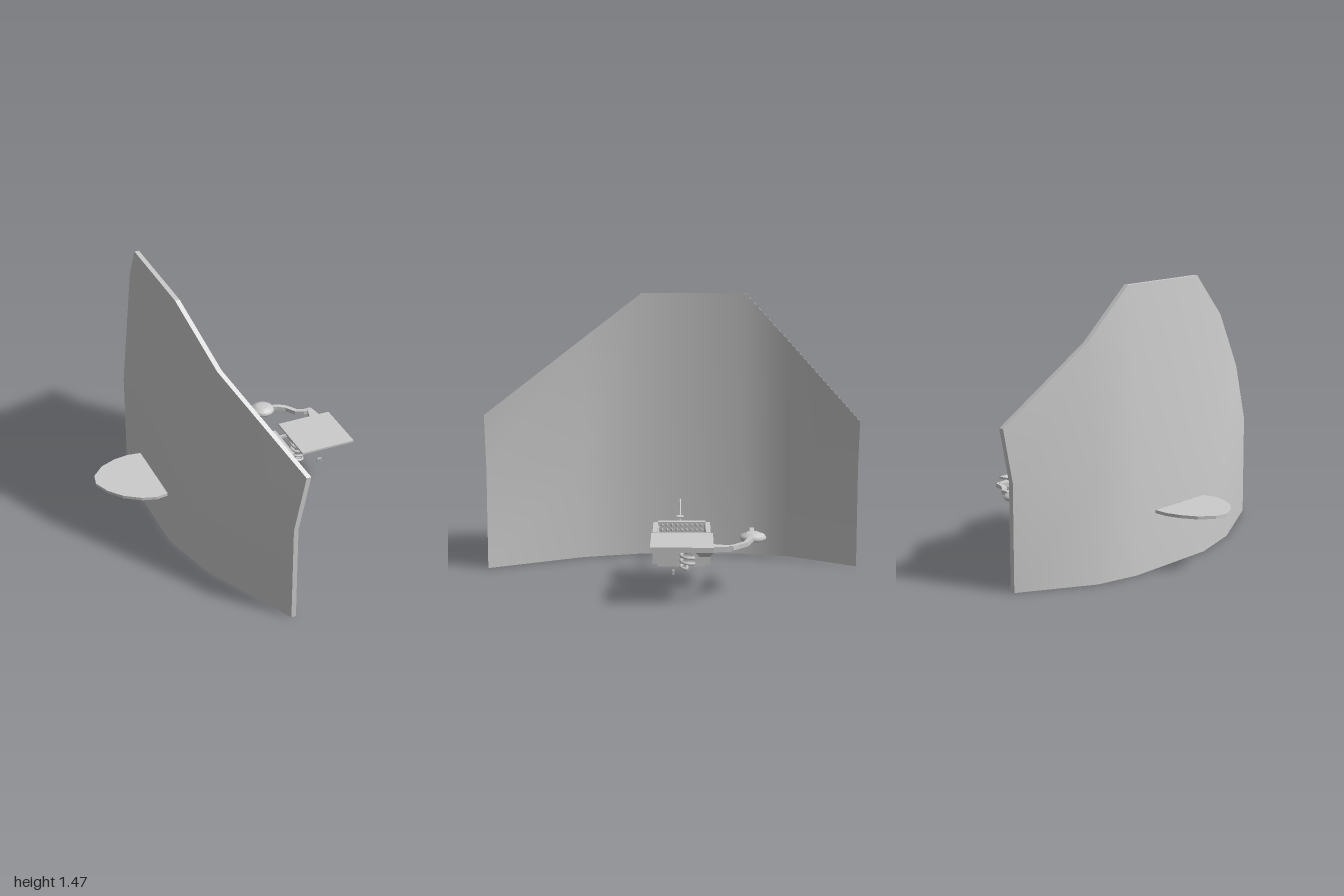
import * as THREE from 'three';
import { mergeGeometries, toCreasedNormals } from 'three/addons/utils/BufferGeometryUtils.js';

const grey = new THREE.MeshStandardMaterial({ color: 0xcccccc });
const V = (x, y, z) => new THREE.Vector3(x, y, z);

function add(parent, name, geometry) {
  const mesh = new THREE.Mesh(geometry, grey);
  mesh.name = name;
  parent.add(mesh);
  return mesh;
}

// Box given by its minimum and maximum corners
function boxGeo(x0, x1, y0, y1, z0, z1) {
  return new THREE.BoxGeometry(x1 - x0, y1 - y0, z1 - z0)
    .translate((x0 + x1) / 2, (y0 + y1) / 2, (z0 + z1) / 2);
}

// Flat bar running from a to b
function beamGeo(a, b, width, height) {
  const m = new THREE.Matrix4().lookAt(b, a, V(0, 1, 0)).setPosition(a.clone().lerp(b, 0.5));
  return new THREE.BoxGeometry(width, height, a.distanceTo(b) + width * 0.35).applyMatrix4(m);
}

// Plan outline [x, z] extruded upward from y0 to y1
function slabGeo(points, y0, y1) {
  const shape = new THREE.Shape(points.map(([x, z]) => new THREE.Vector2(x, -z)));
  return new THREE.ExtrudeGeometry(shape, { depth: y1 - y0, bevelEnabled: false })
    .rotateX(-Math.PI / 2).translate(0, y0, 0);
}

// Curved wall: columns [x, z, top height] lofted along z, leaning in above the middle row
function wallGeo() {
  const columns = [[-0.13, -1, 0.81], [-0.355, -0.635, 1.21], [-0.41, -0.395, 1.47],
    [-0.41, 0.17, 1.47], [-0.325, 0.495, 1.225], [-0.075, 1, 0.85]];
  const thick = 0.025, lean = 0.06, mid = 0.55;
  const pos = [], idx = [];
  for (const [x, z, top] of columns) {
    pos.push(x, 0, z, x, mid, z, x + lean, top, z);
    pos.push(x + lean + thick, top, z, x + thick, mid, z, x + thick, 0, z);
  }
  for (let i = 0; i < columns.length - 1; i++) {
    for (let k = 0; k < 6; k++) {
      const a = i * 6 + k, d = i * 6 + (k + 1) % 6;
      idx.push(a, a + 6, d + 6, a, d + 6, d);
    }
  }
  const cap = [0, 1, 4, 0, 4, 5, 1, 2, 3, 1, 3, 4];
  const last = (columns.length - 1) * 6;
  idx.push(...cap, ...cap.slice().reverse().map((k) => k + last));
  const geo = new THREE.BufferGeometry();
  geo.setAttribute('position', new THREE.Float32BufferAttribute(pos, 3));
  geo.setIndex(idx);
  return toCreasedNormals(geo, 0.6);
}

function buildBin() {
  const bin = new THREE.Group();
  bin.name = 'bin';
  add(bin, 'binBase', boxGeo(0.1, 0.345, 0.113, 0.127, -0.175, 0.075));
  // Four overlapping side panels
  for (const [x0, x1, z0, z1] of [[0.07, 0.1, -0.175, 0.075], [0.345, 0.375, -0.175, 0.075],
    [0.1, 0.345, -0.2, -0.175], [0.1, 0.345, 0.075, 0.1]]) {
    add(bin, 'binPanel', boxGeo(x0, x1, 0.125, 0.293, z0, z1));
  }
  // Inner walls studded with small spikes
  const spikes = [];
  for (let side = 0; side < 4; side++) {
    for (let i = 0; i < 9; i++) {
      for (let j = 0; j < 6; j++) {
        spikes.push(new THREE.ConeGeometry(0.01, 0.008, 4)
          .rotateX(Math.PI / 2)
          .translate((i - 4) * 0.026, 0.147 + j * 0.026, -0.1195)
          .rotateY(side * Math.PI / 2)
          .translate(0.2225, 0, -0.05));
      }
    }
  }
  add(bin, 'binSpikes', mergeGeometries(spikes));
  // Raised angle on the floor
  add(bin, 'floorStrip', boxGeo(0.205, 0.22, 0.125, 0.135, -0.17, -0.04));
  add(bin, 'floorStrip', boxGeo(0.22, 0.31, 0.125, 0.135, -0.055, -0.04));
  return bin;
}

function buildArm() {
  const arm = new THREE.Group();
  arm.name = 'arm';
  const path = [V(0.44, 0.285, -0.41), V(0.49, 0.287, -0.395), V(0.535, 0.28, -0.375),
    V(0.575, 0.275, -0.325), V(0.615, 0.28, -0.3), V(0.65, 0.285, -0.295)];
  for (let i = 0; i < path.length - 1; i++) {
    add(arm, 'armLink', beamGeo(path[i], path[i + 1], 0.026, 0.022));
  }
  add(arm, 'armBracket', slabGeo([[0.605, -0.2], [0.675, -0.2], [0.66, -0.3], [0.634, -0.3]], 0.27, 0.296));
  // Tapered foot under the lid
  const foot = new THREE.CylinderGeometry(0.07, 0.035, 0.03, 4).rotateY(Math.PI / 4).translate(0.62, 0.255, -0.165);
  add(arm, 'armFoot', foot.toNonIndexed()).geometry.computeVertexNormals();
  add(arm, 'armPlate', boxGeo(0.565, 0.675, 0.268, 0.296, -0.21, -0.03));
  // Round knob with a button and a handle
  const profile = [[0, 0.264], [0.04, 0.264], [0.062, 0.27], [0.069, 0.283], [0.06, 0.297],
    [0.035, 0.305], [0.033, 0.309], [0, 0.31]].map(([r, y]) => new THREE.Vector2(r, y));
  add(arm, 'knob', new THREE.LatheGeometry(profile, 28).translate(0.403, 0, -0.415));
  add(arm, 'handle', boxGeo(0.2, 0.36, 0.267, 0.288, -0.427, -0.403));
  return arm;
}

export function createModel() {
  const model = new THREE.Group();
  model.name = 'model';
  add(model, 'wall', wallGeo());

  // Thin rounded shelf on the outside of the wall
  add(model, 'shelf', slabGeo([[-0.4, 0.16], [-0.475, 0.17], [-0.55, 0.147], [-0.635, 0.09], [-0.695, 0.015],
    [-0.73, -0.07], [-0.715, -0.14], [-0.65, -0.208], [-0.565, -0.243], [-0.485, -0.255], [-0.4, -0.243]], 0.295, 0.311));

  // Drooping rod from wall to bin, with a square collar
  const rod = new THREE.CatmullRomCurve3([V(-0.41, 0.315, -0.04), V(-0.3, 0.295, -0.04),
    V(-0.18, 0.273, -0.04), V(-0.06, 0.266, -0.04), V(0.08, 0.266, -0.04)]);
  add(model, 'rod', new THREE.TubeGeometry(rod, 24, 0.005, 8));
  add(model, 'rodCollar', boxGeo(-0.105, -0.065, 0.252, 0.284, -0.06, -0.02));

  model.add(buildBin());

  // Flat lid swung out to the side
  add(model, 'lid', boxGeo(0.41, 0.725, 0.295, 0.306, -0.21, 0.105));
  add(model, 'hinge', boxGeo(0.37, 0.47, 0.27, 0.284, -0.131, -0.119));

  // Coil spring between its two mounting bars
  const coil = [];
  const turns = 4.5, steps = 72;
  for (let i = 0; i <= steps; i++) {
    const t = i / steps, a = t * turns * Math.PI * 2;
    coil.push(V(0.466 + 0.033 * Math.cos(a), 0.138 + 0.132 * t, -0.08 + 0.033 * Math.sin(a)));
  }
  add(model, 'spring', new THREE.TubeGeometry(new THREE.CatmullRomCurve3(coil), 150, 0.008, 6));
  add(model, 'springBar', boxGeo(0.37, 0.49, 0.128, 0.14, -0.086, -0.074));
  add(model, 'springTop', boxGeo(0.42, 0.51, 0.272, 0.296, -0.12, -0.04));

  model.add(buildArm());

  // Small loose staple
  const staple = new THREE.Group();
  staple.name = 'staple';
  add(staple, 'stapleTop', boxGeo(0.56, 0.585, 0.149, 0.154, -0.014, -0.006));
  for (const x of [0.56, 0.58]) add(staple, 'stapleLeg', boxGeo(x, x + 0.005, 0.13, 0.15, -0.014, -0.006));
  model.add(staple);
  return model;
}
